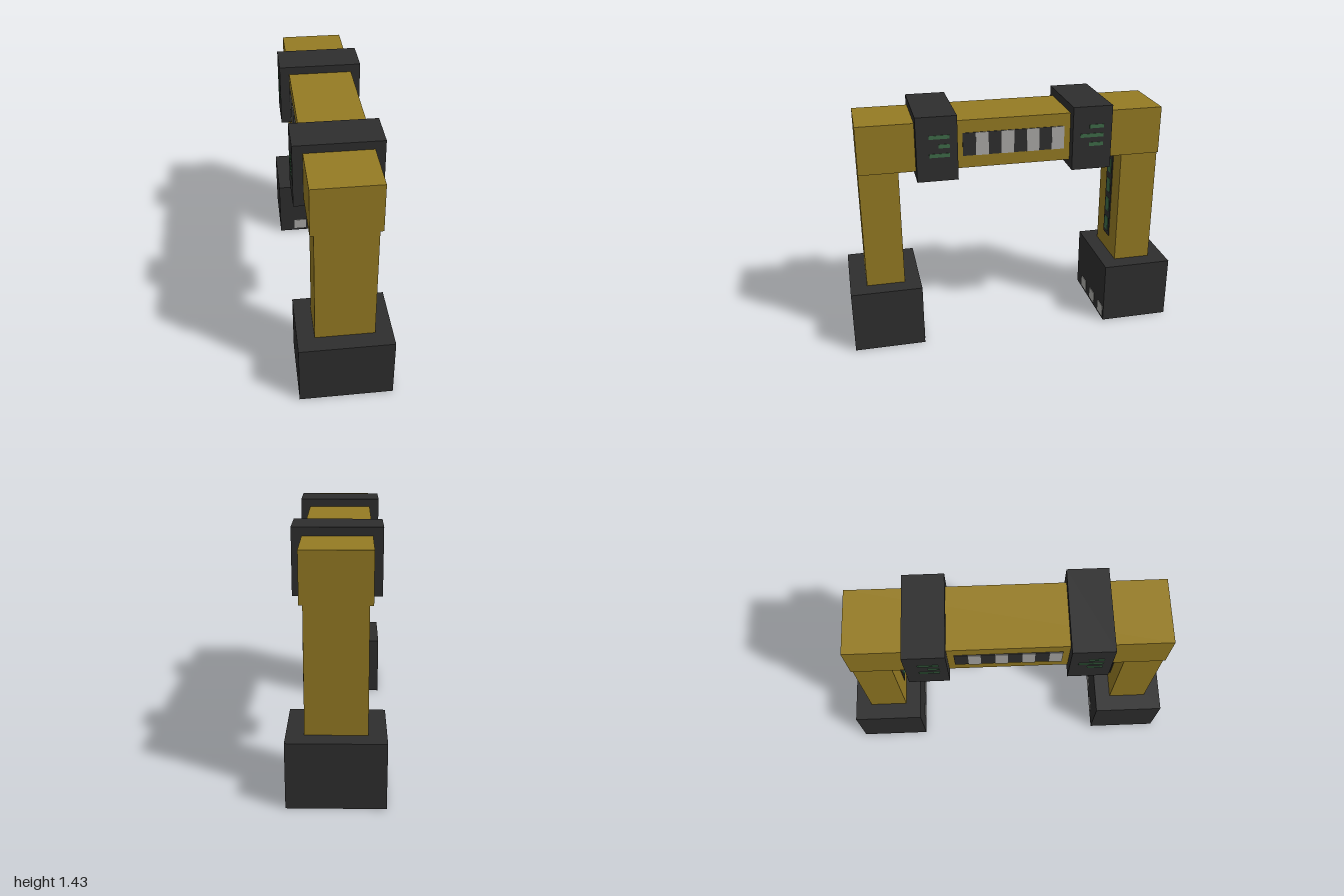
import * as THREE from 'three';

const material = (name, color) => {
  const m = new THREE.MeshStandardMaterial({ color });
  m.name = name;
  return m;
};

export function createModel() {
  const gold = material('gold paint', 0x957b23);
  const dark = material('charcoal', 0x2e2e2e);
  const pale = material('pale grey', 0xaaa9a6);
  const green = material('green light', 0x3e6b48);
  const model = new THREE.Group();
  model.name = 'gantryArch';

  // Box given by its limits on each axis
  const box = (parent, name, mat, [x0, x1], [y0, y1], [z0, z1]) => {
    const mesh = new THREE.Mesh(new THREE.BoxGeometry(x1 - x0, y1 - y0, z1 - z0), mat);
    mesh.position.set((x0 + x1) / 2, (y0 + y1) / 2, (z0 + z1) / 2);
    mesh.name = name;
    parent.add(mesh);
  };
  // Limits running inward or outward along z, mirrored by the sign s
  const span = (s, a, b) => (s > 0 ? [a, b] : [-b, -a]);

  box(model, 'crossBeam', gold, [-0.19, 0.19], [1.1, 1.385], [-0.9, 0.9]);

  for (const s of [1, -1]) {
    const post = new THREE.Group();
    post.name = s > 0 ? 'frontPost' : 'backPost';
    model.add(post);
    box(post, 'foot', dark, [-0.27, 0.27], [0, 0.383], span(s, 0.578, 1));
    box(post, 'leg', gold, [-0.17, 0.17], [0.383, 1.1], span(s, 0.672, 0.9));
    box(post, 'beamBand', dark, [-0.247, 0.247], [1.053, 1.433], span(s, 0.337, 0.573));

    // Light strip on the inner face of the leg
    box(post, 'lightPanel', dark, [-0.048, 0.046], [0.49, 1.04], span(s, 0.668, 0.672));
    for (let i = 0; i < 4; i++) {
      const y = 0.565 + i * 0.133;
      box(post, 'legLight', green, [-0.028, 0.026], [y - 0.045, y + 0.045], span(s, 0.665, 0.668));
    }
    // Markers on the inner face of the foot
    for (const x of [-0.127, 0.042, 0.21]) {
      box(post, 'footMarker', pale, [x - 0.043, x + 0.043], [0.018, 0.09], span(s, 0.575, 0.578));
    }
  }

  // Side markings, repeated by a half turn on the other side
  for (const turn of [0, Math.PI]) {
    const side = new THREE.Group();
    side.name = 'sideMarkings';
    side.rotation.y = turn;
    model.add(side);

    // Hazard stripes
    box(side, 'stripePanel', dark, [0.19, 0.194], [1.173, 1.31], [-0.3, 0.3]);
    for (let i = 0; i < 4; i++) {
      const z = 0.225 - i * 0.15;
      box(side, 'paleStripe', pale, [0.194, 0.197], [1.173, 1.31], [z - 0.075, z]);
    }
    // Status bars on both bands
    [1.314, 1.26, 1.206].forEach((y, i) => {
      const h = [y - 0.011, y + 0.011];
      const middle = i === 1;
      box(side, 'statusBar', green, [0.247, 0.25], h, [0.383, middle ? 0.447 : 0.5]);
      box(side, 'statusBar', green, [0.247, 0.25], h, [-0.522, middle ? -0.383 : -0.436]);
    });
  }
  return model;
}
